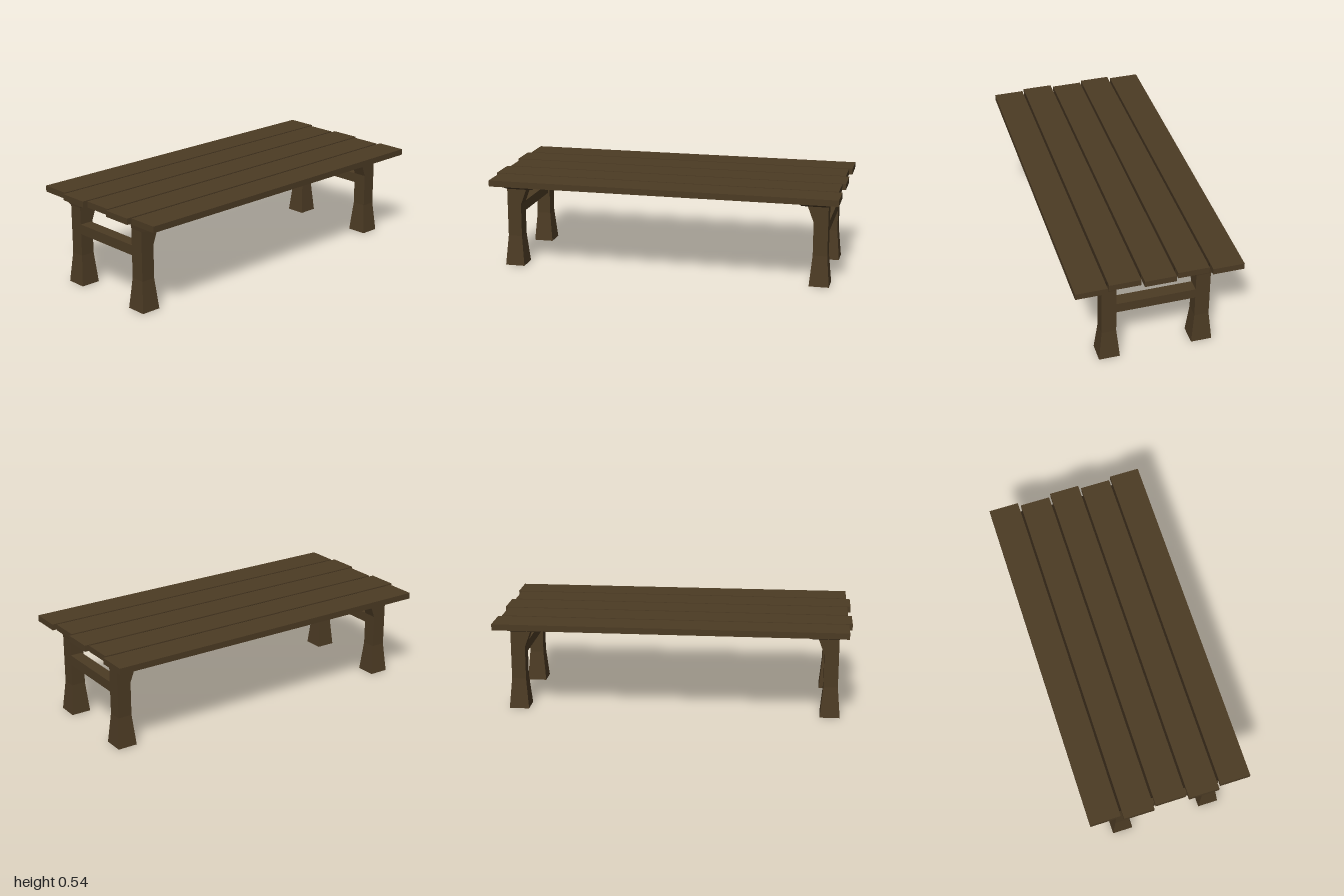
import * as THREE from 'three';

const wood = new THREE.MeshStandardMaterial({ color: 0x4c3b24 });
wood.name = 'brown wood';
const darkWood = new THREE.MeshStandardMaterial({ color: 0x2e2315 });
darkWood.name = 'dark wood';

// Box given by its extents on each axis
function box(name, [x0, x1], [y0, y1], [z0, z1], material = wood) {
  const mesh = new THREE.Mesh(new THREE.BoxGeometry(x1 - x0, y1 - y0, z1 - z0), material);
  mesh.position.set((x0 + x1) / 2, (y0 + y1) / 2, (z0 + z1) / 2);
  mesh.name = name;
  return mesh;
}

// Faceted solid from stacked rectangles [y, x0, x1, z0, z1], mirrored by sx and sz
function loft(name, sections, sx, sz) {
  const pos = [];
  const rings = sections.map(([y, x0, x1, z0, z1]) =>
    [[x0, z0], [x0, z1], [x1, z1], [x1, z0]].map(([x, z]) => [x * sx, y, z * sz]));
  const quad = (a, b, c, d) => {
    const order = sx * sz > 0 ? [a, b, c, a, c, d] : [a, c, b, a, d, c];
    order.forEach((p) => pos.push(...p));
  };
  for (let i = 0; i + 1 < rings.length; i++) {
    const lo = rings[i], hi = rings[i + 1];
    for (let k = 0; k < 4; k++) {
      const n = (k + 1) % 4;
      quad(lo[k], lo[n], hi[n], hi[k]);
    }
  }
  const bottom = rings[0], top = rings[rings.length - 1];
  quad(bottom[3], bottom[2], bottom[1], bottom[0]);
  quad(top[0], top[1], top[2], top[3]);
  const geometry = new THREE.BufferGeometry();
  geometry.setAttribute('position', new THREE.Float32BufferAttribute(pos, 3));
  geometry.computeVertexNormals();
  const mesh = new THREE.Mesh(geometry, wood);
  mesh.name = name;
  return mesh;
}

// Flared foot, straight post, inward sloping neck
const legSections = [
  [0, 0.203, 0.32, 0.833, 0.946],
  [0.175, 0.22, 0.301, 0.849, 0.93],
  [0.365, 0.22, 0.301, 0.849, 0.93],
  [0.455, 0.22, 0.301, 0.815, 0.93],
];

// Bracket head reaching outward under the top
const headSections = [
  [0.455, 0.22, 0.301, 0.78, 0.93],
  [0.488, 0.216, 0.39, 0.777, 0.934],
  [0.506, 0.213, 0.393, 0.773, 0.938],
];

export function createModel() {
  const table = new THREE.Group();
  table.name = 'table';

  // Five top planks, staggered lengthwise, with narrow fillers in the gaps
  const pitch = 0.1865, half = 0.0868;
  for (let i = -2; i <= 2; i++) {
    const x = i * pitch;
    const z = i % 2 === 0 ? [-1, 0.98] : [-0.98, 1];
    table.add(box('plank', [x - half, x + half], [0.505, 0.54], z));
    if (i < 2) {
      const end = i === -2 || i === 1 ? 0.945 : 0.93;
      table.add(box('gapFiller', [x + half, x + pitch - half], [0.51, 0.535], [-end, end], darkWood));
    }
  }

  // Legs with bracket heads, and a stretcher at each end
  for (const sz of [1, -1]) {
    for (const sx of [1, -1]) {
      table.add(loft('leg', legSections, sx, sz));
      table.add(loft('legBracket', headSections, sx, sz));
    }
    const z = sz > 0 ? [0.86, 0.93] : [-0.93, -0.86];
    table.add(box('stretcher', [-0.22, 0.22], [0.303, 0.36], z));
  }
  return table;
}
